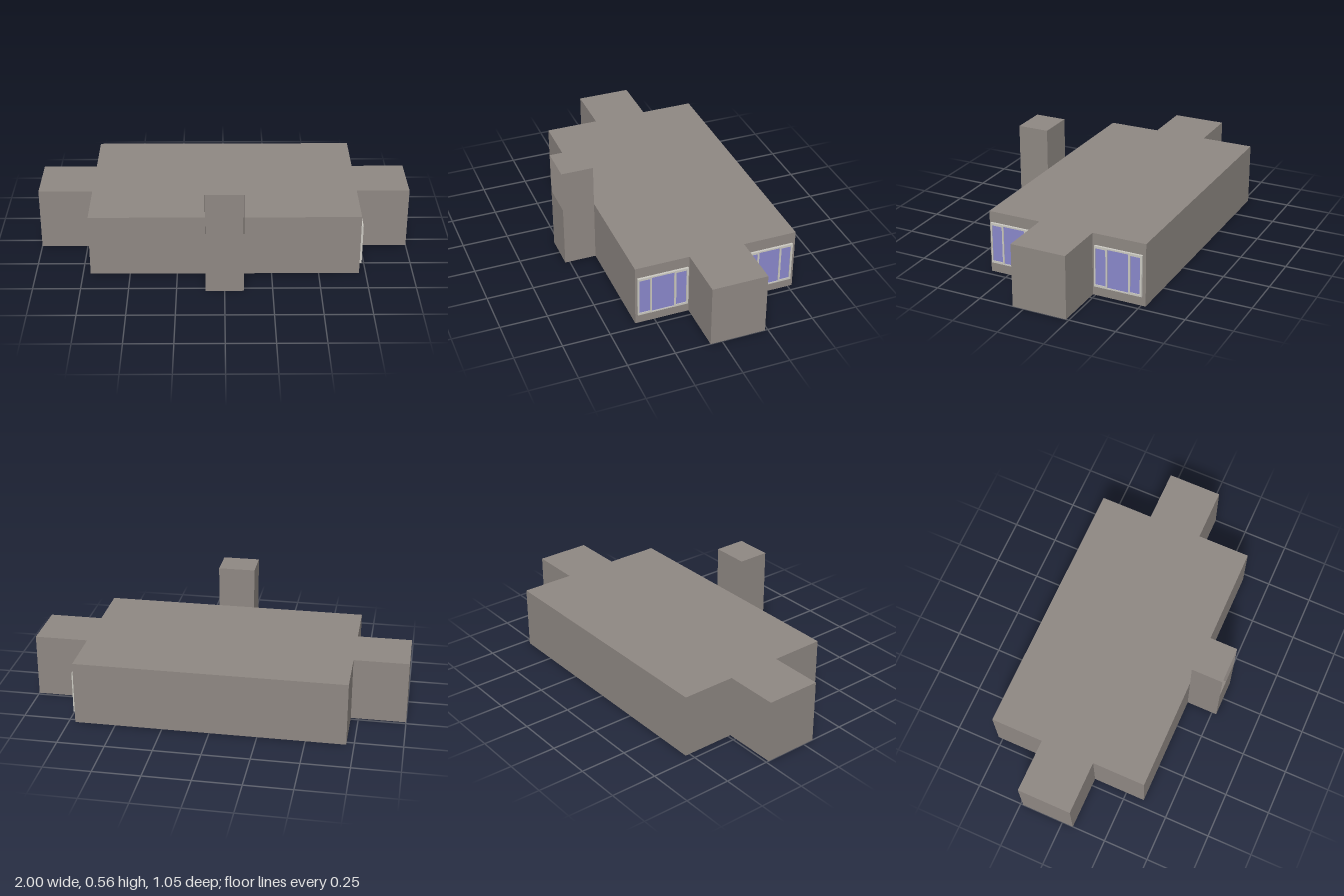
import * as THREE from 'three';

const wall = new THREE.MeshStandardMaterial({ color: 0x8f8883 });
wall.name = 'stone wall';
wall.side = THREE.DoubleSide;
const trim = new THREE.MeshStandardMaterial({ color: 0xcccac2 });
trim.name = 'window trim';
const glass = new THREE.MeshStandardMaterial({ color: 0x8a88cc });
glass.name = 'blue glass';

function addMesh(parent, name, geometry, material) {
  const mesh = new THREE.Mesh(geometry, material);
  mesh.name = name;
  parent.add(mesh);
  return mesh;
}

// Cross-shaped plan: the main hall with a wing at each end
function buildBody() {
  const plan = [
    [-1, -0.235], [-0.71, -0.235], [-0.71, -0.525], [0.715, -0.525],
    [0.715, -0.235], [1, -0.235], [1, 0.062], [0.715, 0.062],
    [0.715, 0.353], [-0.71, 0.353], [-0.71, 0.062], [-1, 0.062],
  ];
  const shape = new THREE.Shape(plan.map(([x, z]) => new THREE.Vector2(x, -z)));
  const geometry = new THREE.ExtrudeGeometry(shape, { depth: 0.34, bevelEnabled: false });
  return geometry.rotateX(-Math.PI / 2);
}

// Hollow tower whose front is open above roof height
function buildTower() {
  const tower = new THREE.Group();
  tower.name = 'chimney';
  const [width, height, back, front, open] = [0.2, 0.565, 0.353, 0.525, 0.34];
  const depth = front - back, mid = (front + back) / 2;
  const panel = (name, w, h, x, y, z, rx = 0, ry = 0) => {
    const mesh = addMesh(tower, name, new THREE.PlaneGeometry(w, h), wall);
    mesh.position.set(x, y, z);
    mesh.rotation.set(rx, ry, 0);
  };
  panel('chimneyFront', width, open, 0, open / 2, front);
  panel('chimneyBack', width, height - open, 0, (height + open) / 2, back, 0, Math.PI);
  for (const s of [-1, 1]) {
    panel('chimneySide', depth, height, s * width / 2, height / 2, mid, 0, s * Math.PI / 2);
  }
  panel('chimneyTop', width, depth, 0, height, mid, -Math.PI / 2);
  panel('chimneyBottom', width, depth, 0, 0, mid, Math.PI / 2);
  return tower;
}

// Three-light window on the +x wall; u runs from its front end to its back end
function buildWindow(name, zFront, width, yLow) {
  const window = new THREE.Group();
  window.name = name;
  const height = 0.225;
  const rect = (target, u0, u1, v0, v1) => target
    .moveTo(u0, v0).lineTo(u1, v0).lineTo(u1, v1).lineTo(u0, v1).closePath();
  const frame = rect(new THREE.Shape(), 0, width, 0, height);
  const panes = [
    [0.027, 0.24, 0.012, 0.212],
    [0.275, 0.717, 0.007, 0.217],
    [0.757, 0.96, 0.012, 0.212],
  ];
  for (const [a, b, low, high] of panes) {
    const u0 = a * width, u1 = b * width;
    frame.holes.push(rect(new THREE.Path(), u0, u1, low, high));
    const pane = addMesh(window, 'windowPane', new THREE.BoxGeometry(u1 - u0, high - low, 0.008), glass);
    pane.position.set((u0 + u1) / 2, (low + high) / 2, 0.004);
  }
  addMesh(window, 'windowFrame', new THREE.ExtrudeGeometry(frame, { depth: 0.012, bevelEnabled: false }), trim);
  window.rotation.y = Math.PI / 2;
  window.position.set(0.715, yLow, zFront);
  return window;
}

export function createModel() {
  const model = new THREE.Group();
  model.name = 'building';
  addMesh(model, 'mainHallAndWings', buildBody(), wall);
  model.add(buildTower());
  model.add(buildWindow('frontWindow', 0.342, 0.272, 0.056));
  model.add(buildWindow('backWindow', -0.248, 0.26, 0.053));
  return model;
}
